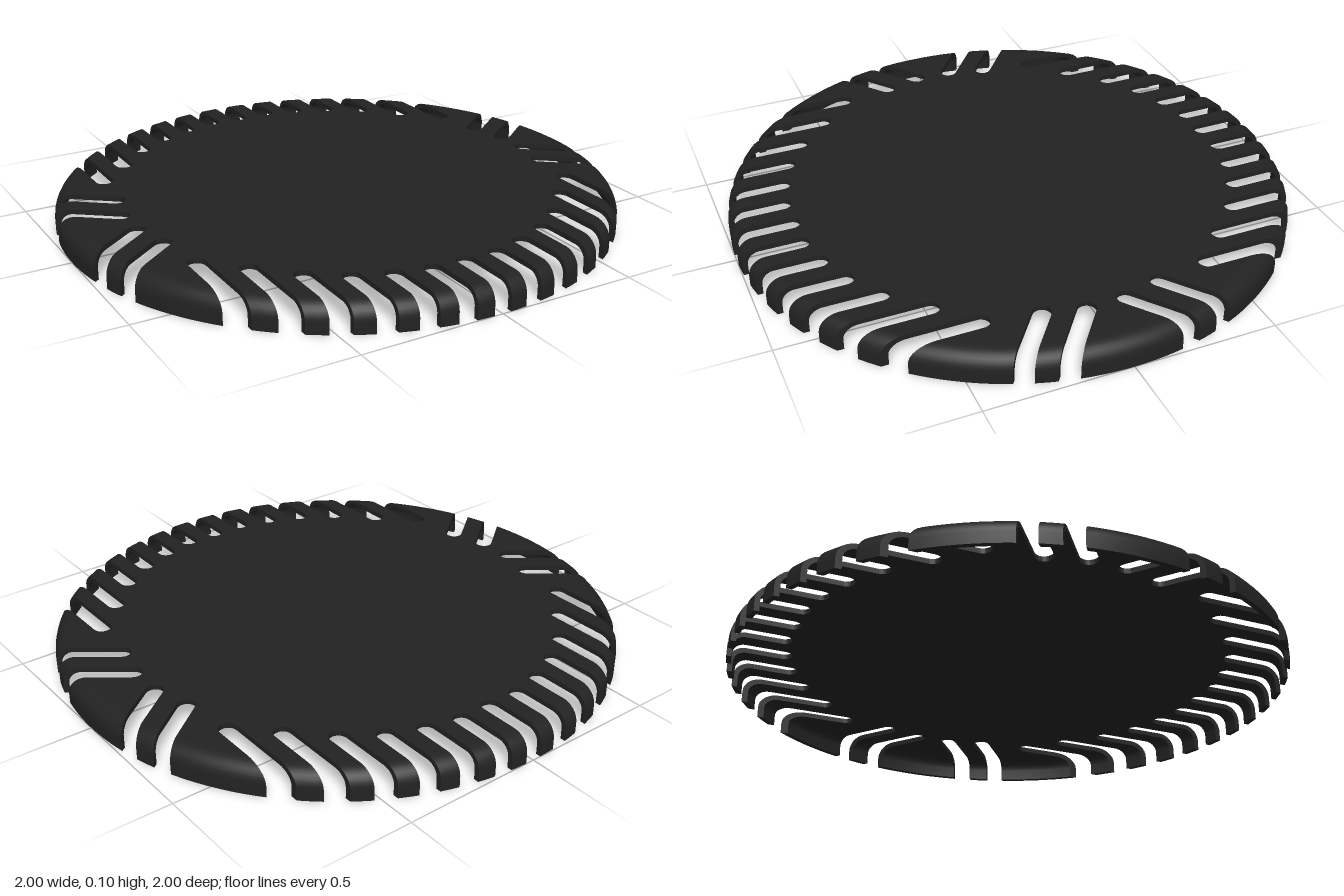
import * as THREE from 'three';
import { mergeGeometries, toCreasedNormals } from 'three/addons/utils/BufferGeometryUtils.js';

const H = 0.1;        // total height
const T = 0.018;      // shell thickness
const R = 0.06;       // outer edge rounding
const R0 = 1 - R;     // radius where the flat plate meets the curved rim
const W = 0.031;      // half width of a slot

// Slots in plan: round inner end (x, z) and outward direction a, sorted by angle.
function makeSlots() {
  const slots = [];
  const add = (x, z, dx, dz) =>
    slots.push({ x, z, a: Math.atan2(dz, dx), mid: Math.atan2(z + dz * 0.2, x + dx * 0.2) });
  const ends = [0.77, 0.77, 0.74, 0.69, 0.61, 0.487, 0.367];
  for (const sz of [-1, 1]) {
    for (let k = -6; k <= 6; k++) add(k * 0.122, sz * (ends[Math.abs(k)] + W), 0, sz);
    for (const sx of [-1, 1]) {
      add(sx * 0.762, sz * 0.205, sx * 0.79, sz * 0.613);
      add(sx * 0.797, sz * 0.068, sx * 0.79, sz * 0.613);
    }
  }
  return slots.sort((p, q) => p.mid - q.mid);
}

// Angle at which one edge of a slot (side -1 or 1) crosses the circle of radius r.
function edgeAngle(s, side, r) {
  const dx = Math.cos(s.a), dz = Math.sin(s.a);
  const px = s.x - side * W * dz, pz = s.z + side * W * dx;
  const b = px * dx + pz * dz;
  const t = -b + Math.sqrt(b * b - px * px - pz * pz + r * r);
  return Math.atan2(pz + t * dz, px + t * dx);
}

// Angles across the tooth between slots s and e, at radius r.
function toothAngles(s, e, r, n) {
  const a = edgeAngle(s, 1, r);
  let b = edgeAngle(e, -1, r);
  if (b < a) b += Math.PI * 2;
  return Array.from({ length: n + 1 }, (_, j) => a + (b - a) * j / n);
}

function toothSteps(s, e) {
  const [a, b] = toothAngles(s, e, R0, 1);
  return Math.max(2, Math.ceil((b - a) / 0.03));
}

// Flat plate with the inner parts of all slots cut into its outline.
function plateGeometry(slots) {
  const pts = [];
  slots.forEach((s, i) => {
    for (let j = 0; j <= 12; j++) {
      const a = s.a - Math.PI / 2 - Math.PI * j / 12;
      pts.push(new THREE.Vector2(s.x + W * Math.cos(a), s.z + W * Math.sin(a)));
    }
    const e = slots[(i + 1) % slots.length];
    for (const a of toothAngles(s, e, R0, toothSteps(s, e))) {
      pts.push(new THREE.Vector2(R0 * Math.cos(a), R0 * Math.sin(a)));
    }
  });
  const g = new THREE.ExtrudeGeometry(new THREE.Shape(pts), { depth: T, bevelEnabled: false });
  g.rotateX(Math.PI / 2).translate(0, H, 0);
  return toCreasedNormals(g, 0.6);
}

// Rim section: outer skin going down, then inner skin going back up.
function rimProfile() {
  const outer = [], inner = [];
  for (let i = 0; i <= 8; i++) {
    const a = Math.PI / 2 * (1 - i / 8);
    outer.push([R0 + R * Math.cos(a), H - R + R * Math.sin(a)]);
    inner.push([R0 + (R - T) * Math.cos(a), H - R + (R - T) * Math.sin(a)]);
  }
  outer.push([1, 0]);
  inner.push([1 - T, 0]);
  return [...outer, ...inner.reverse()];
}

// One bent-down tooth of the rim, its sides following the slot edges.
function toothGeometry(s, e, profile) {
  const n = toothSteps(s, e), m = profile.length, pos = [];
  const P = profile.map(([r, y]) =>
    toothAngles(s, e, r, n).map((a) => [r * Math.cos(a), y, r * Math.sin(a)]));
  const quad = (a, b, c, d) => pos.push(...a, ...b, ...c, ...a, ...c, ...d);
  for (let i = 0; i < m - 1; i++) {
    for (let j = 0; j < n; j++) quad(P[i][j], P[i][j + 1], P[i + 1][j + 1], P[i + 1][j]);
  }
  for (let i = 0; i < m / 2 - 1; i++) {
    const k = m - 1 - i;
    quad(P[i][0], P[i + 1][0], P[k - 1][0], P[k][0]);
    quad(P[i][n], P[k][n], P[k - 1][n], P[i + 1][n]);
  }
  const g = new THREE.BufferGeometry();
  g.setAttribute('position', new THREE.Float32BufferAttribute(pos, 3));
  return toCreasedNormals(g, 0.6);
}

export function createModel() {
  const group = new THREE.Group();
  group.name = 'slottedCover';
  const material = new THREE.MeshStandardMaterial({ color: 0x222222 });
  const slots = makeSlots();
  const profile = rimProfile();

  const plate = new THREE.Mesh(plateGeometry(slots), material);
  plate.name = 'topPlate';

  const teeth = slots.map((s, i) => toothGeometry(s, slots[(i + 1) % slots.length], profile));
  const rim = new THREE.Mesh(mergeGeometries(teeth), material);
  rim.name = 'rimTeeth';

  group.add(plate, rim);
  return group;
}
